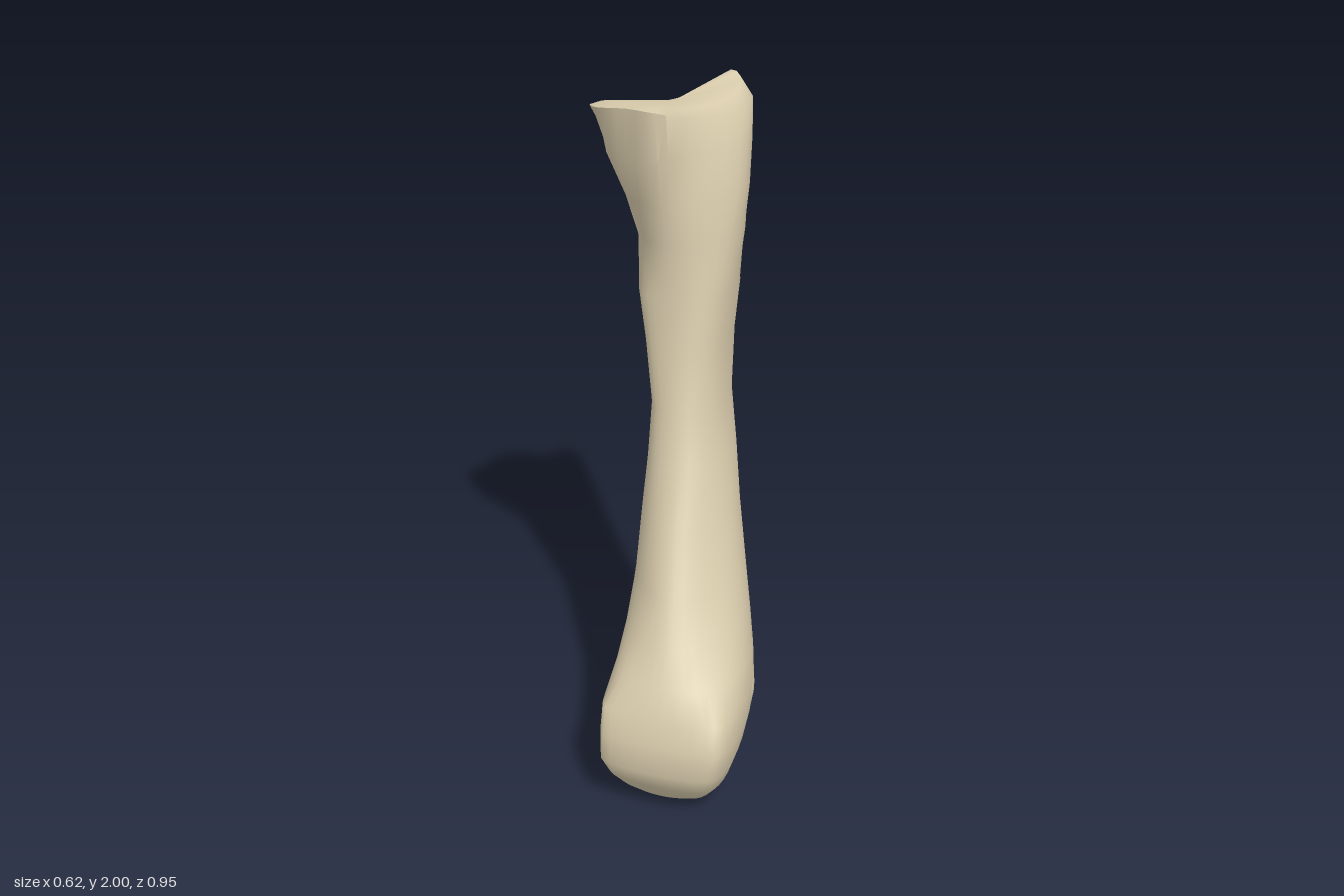
import * as THREE from 'three';
import { toCreasedNormals } from 'three/addons/utils/BufferGeometryUtils.js';

const SEGMENTS = 36;
const V = (x, y, z) => new THREE.Vector3(x, y, z);

// Twelve points of a rounded section, counted from +x towards the front.
// "widest" places the broadest line between back (0) and front (1); the last
// three values set how square the front left, front right and back corners are.
function oval(y, x0, x1, z0, z1, widest, frontLeft, frontRight, back) {
  const bend = (v, p) => Math.sign(v) * Math.pow(Math.abs(v), 2 / p);
  const zc = z0 + (z1 - z0) * widest;
  return Array.from({ length: 12 }, (_, i) => {
    const c = Math.cos((i * Math.PI) / 6);
    const s = Math.sin((i * Math.PI) / 6);
    let p = back;
    if (s > 0) p = c > 0 ? frontLeft : frontRight;
    return V((x0 + x1) / 2 + ((x1 - x0) / 2) * bend(c, p), y,
      zc + (s > 0 ? z1 - zc : zc - z0) * bend(s, p));
  });
}

const flatRing = (y, points) => points.map(([x, z]) => V(x, y, z));
const pole = (x, y, z) => Array.from({ length: 12 }, () => V(x, y, z));

// Skin a stack of closed sections from bottom to top
function loft(rings) {
  const positions = [];
  const index = [];
  rings.forEach((ring) => {
    const curve = new THREE.CatmullRomCurve3(ring, true, 'catmullrom', 0.5);
    for (let i = 0; i < SEGMENTS; i++) positions.push(...curve.getPoint(i / SEGMENTS).toArray());
  });
  for (let r = 0; r < rings.length - 1; r++) {
    for (let i = 0; i < SEGMENTS; i++) {
      const a = r * SEGMENTS + i;
      const b = r * SEGMENTS + ((i + 1) % SEGMENTS);
      const c = a + SEGMENTS;
      const d = b + SEGMENTS;
      if (r > 0) index.push(a, c, b); // the bottom pole needs one triangle only
      if (r < rings.length - 2) index.push(b, c, d); // so does the top pole
    }
  }
  const geometry = new THREE.BufferGeometry();
  geometry.setAttribute('position', new THREE.Float32BufferAttribute(positions, 3));
  geometry.setIndex(index);
  return toCreasedNormals(geometry, 0.9);
}

export function createModel() {
  const model = new THREE.Group();
  model.name = 'longBone';
  const boneMaterial = new THREE.MeshStandardMaterial({ color: 0xd6c9aa });
  boneMaterial.name = 'bone';

  // Boxy lower head, then a curved shaft with an arched front and a flatter back
  const shaft = [
    [0.005, 0.0, 0.14, 0.21, 0.34, 0.5, 2.4, 2.6, 2.5],
    [0.02, -0.03, 0.19, 0.185, 0.365, 0.5, 2.6, 2.8, 2.6],
    [0.055, -0.055, 0.235, 0.155, 0.4, 0.54, 3, 3.2, 2.8],
    [0.11, -0.078, 0.27, 0.115, 0.44, 0.58, 3.4, 3.8, 3],
    [0.18, -0.092, 0.293, 0.088, 0.475, 0.6, 3.8, 4.2, 3.2],
    [0.26, -0.097, 0.305, 0.065, 0.457, 0.6, 4.2, 4.6, 3.4],
    [0.34, -0.098, 0.3, 0.035, 0.435, 0.57, 4, 4.6, 3.6],
    [0.41, -0.099, 0.278, 0.005, 0.385, 0.47, 2.2, 2.5, 4],
    [0.5, -0.1, 0.25, -0.03, 0.322, 0.4, 1.7, 2, 4.4],
    [0.62, -0.104, 0.216, -0.077, 0.24, 0.39, 1.6, 1.6, 4.6],
    [0.8, -0.106, 0.17, -0.147, 0.143, 0.4, 1.7, 1.9, 4.4],
    [0.95, -0.107, 0.135, -0.214, 0.06, 0.43, 2, 2.2, 4.2],
    [1.1, -0.107, 0.1, -0.27, 0.005, 0.46, 2.1, 2.5, 4],
    [1.28, -0.137, 0.095, -0.315, -0.04, 0.48, 2.2, 3, 3.6],
    [1.42, -0.168, 0.105, -0.342, -0.062, 0.5, 2.2, 2.8, 3.4],
  ].map((s) => oval(...s));

  // Flared upper end: rear bulge, front flange, and a raised back ridge with a groove beside it
  const flare = [
    flatRing(1.5, [[0.11, -0.22], [0.09, -0.14], [0.025, -0.088], [-0.05, -0.068], [-0.11, -0.085],
      [-0.16, -0.13], [-0.182, -0.21], [-0.2, -0.27], [-0.2, -0.325], [-0.14, -0.35],
      [-0.03, -0.355], [0.08, -0.325]]),
    flatRing(1.58, [[0.112, -0.265], [0.098, -0.165], [0.02, -0.09], [-0.05, -0.063], [-0.11, -0.075],
      [-0.16, -0.13], [-0.178, -0.21], [-0.22, -0.28], [-0.258, -0.34], [-0.2, -0.38],
      [-0.05, -0.37], [0.07, -0.36]]),
    flatRing(1.7, [[0.105, -0.335], [0.108, -0.215], [0.015, -0.1], [-0.06, -0.045], [-0.13, -0.055],
      [-0.19, -0.11], [-0.205, -0.21], [-0.265, -0.3], [-0.31, -0.38], [-0.23, -0.429],
      [-0.06, -0.395], [0.045, -0.408]]),
    flatRing(1.83, [[0.095, -0.385], [0.094, -0.26], [0.0, -0.12], [-0.055, -0.005], [-0.15, -0.02],
      [-0.23, -0.07], [-0.25, -0.19], [-0.262, -0.3], [-0.302, -0.385], [-0.22, -0.427],
      [-0.07, -0.41], [0.02, -0.445]]),
  ];
  const rim = [[0.084, 1.93, -0.415], [0.07, 1.91, -0.3], [-0.01, 1.925, -0.145], [-0.06, 1.97, 0],
    [-0.15, 1.97, -0.02], [-0.25, 1.955, -0.06], [-0.303, 1.94, -0.14], [-0.285, 1.91, -0.27],
    [-0.298, 1.865, -0.375], [-0.2, 1.875, -0.415], [-0.08, 1.91, -0.425], [0.0, 1.95, -0.474]];
  const socket = [[0.055, 1.975, -0.395], [0.045, 1.945, -0.31], [-0.03, 1.945, -0.15], [-0.07, 1.977, -0.03],
    [-0.15, 1.975, -0.05], [-0.23, 1.968, -0.09], [-0.27, 1.95, -0.15], [-0.25, 1.925, -0.26],
    [-0.22, 1.895, -0.34], [-0.16, 1.905, -0.375], [-0.06, 1.94, -0.39], [0.015, 1.998, -0.42]];

  const bone = new THREE.Mesh(loft([
    pole(0.07, 0.002, 0.275), ...shaft, ...flare,
    rim.map((p) => V(...p)), socket.map((p) => V(...p)), pole(-0.09, 1.945, -0.24),
  ]), boneMaterial);
  bone.name = 'shaftAndEnds';
  model.add(bone);

  // Low knobs on either side of the lower head
  [['rightKnob', -0.065, 0.21, 0.15], ['leftKnob', 0.25, 0.3, 0.15]].forEach(([name, x, y, z]) => {
    const knob = new THREE.Mesh(new THREE.SphereGeometry(1, 16, 10), boneMaterial);
    knob.name = name;
    knob.scale.set(0.045, 0.1, 0.06);
    knob.rotation.x = -0.45;
    knob.position.set(x, y, z);
    model.add(knob);
  });
  return model;
}
